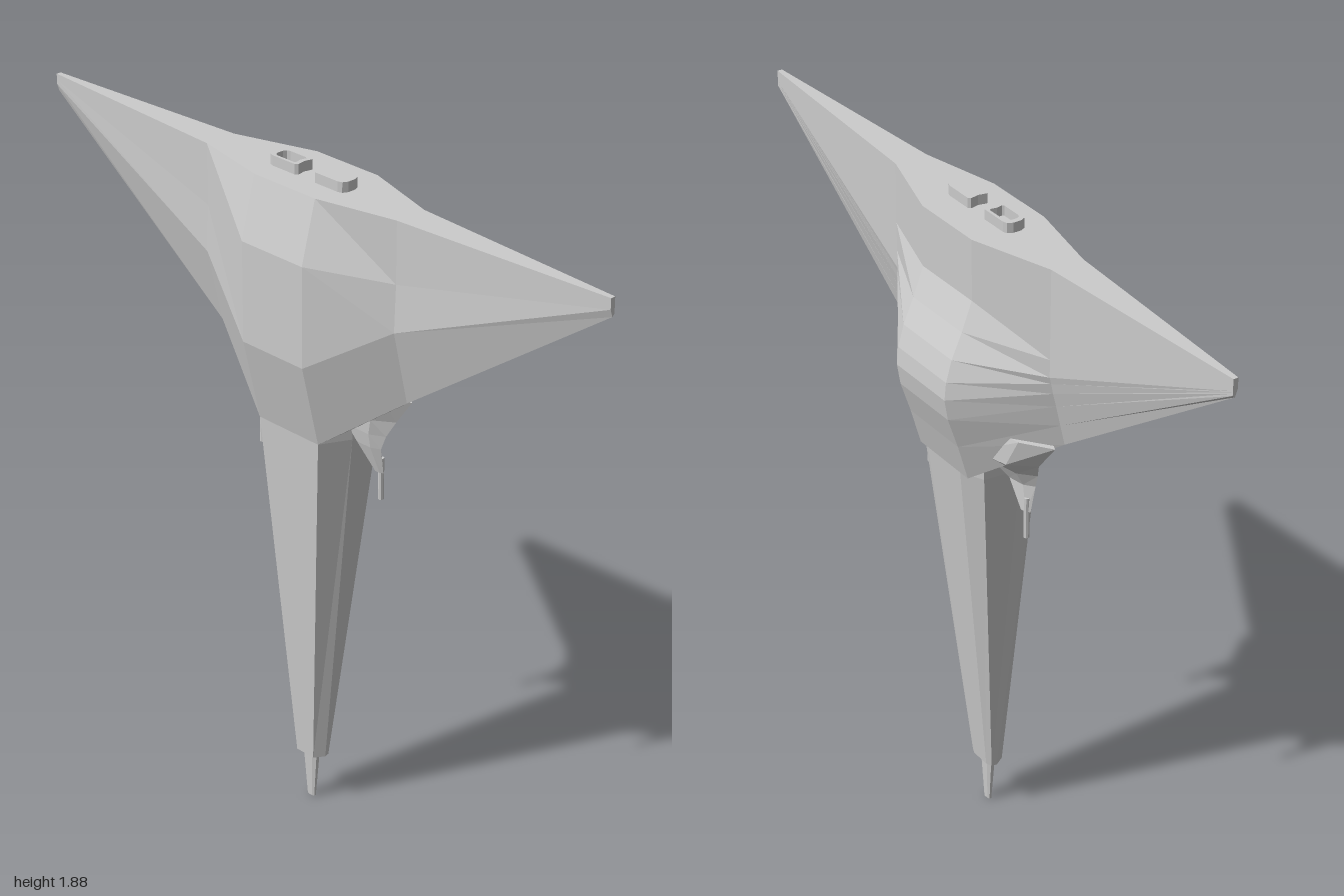
import * as THREE from 'three';

const grey = new THREE.MeshStandardMaterial({ color: 0xcccccc, flatShading: true });

// Skin a row of equal-length closed rings of [x, y, z] and cap both ends.
function loft(name, rings) {
  const tris = [];
  const n = rings[0].length;
  for (let i = 0; i + 1 < rings.length; i++) {
    for (let j = 0; j < n; j++) {
      const k = (j + 1) % n;
      const a = rings[i][j], b = rings[i][k], c = rings[i + 1][k], d = rings[i + 1][j];
      tris.push([a, b, c], [a, c, d]);
    }
  }
  const last = rings[rings.length - 1];
  for (let j = 1; j + 1 < n; j++) {
    tris.push([rings[0][0], rings[0][j + 1], rings[0][j]], [last[0], last[j], last[j + 1]]);
  }
  // Signed volume tells whether the faces point outwards.
  const v = (p) => new THREE.Vector3(...p);
  const volume = tris.reduce((s, [a, b, c]) => s + v(a).dot(v(b).cross(v(c))), 0);
  if (volume < 0) tris.forEach((t) => t.reverse());
  const geometry = new THREE.BufferGeometry();
  geometry.setAttribute('position', new THREE.Float32BufferAttribute(tris.flat(2), 3));
  geometry.computeVertexNormals();
  const mesh = new THREE.Mesh(geometry, grey);
  mesh.name = name;
  return mesh;
}

// Delta hull: [y, z] outlines at the spine, wing root and wing tip,
// four points down the front, then nine points up the back.
function createHull() {
  const spine = [
    [1.85, 0.13], [1.68, 0.175], [1.4, 0.175], [1.165, 0.12],
    [1.165, -0.1], [1.27, -0.13], [1.36, -0.16], [1.42, -0.17], [1.47, -0.165],
    [1.53, -0.148], [1.6, -0.117], [1.68, -0.087], [1.85, -0.087],
  ];
  const root = [
    [1.85, 0.08], [1.68, 0.08], [1.55, 0.085], [1.34, 0.036],
    [1.34, 0.034], [1.4, 0.02], [1.46, 0.006], [1.5, -0.004], [1.53, -0.01],
    [1.55, -0.015], [1.6, -0.015], [1.68, -0.015], [1.85, -0.015],
  ];
  const tip = root.map(([y, z], i) => [
    1.8 + 0.05 * (y - 1.34) / 0.51,
    i < 3 ? 0.04 : i < 5 ? 0.033 : 0.026,
  ]);
  const station = (x, outline) => outline.map(([y, z]) => [x, y, z]);
  return loft('deltaHull', [
    station(-1, tip), station(-0.345, root), station(-0.11, spine),
    station(0.11, spine), station(0.345, root), station(1, tip),
  ]);
}

// Long tapering neck with eight sides.
function createNeck() {
  const ring = (y, front, side, back, zf, zb) => {
    const half = [[front, zf], [side, 0.036], [side * 0.93, zb + (zf - zb) * 0.14], [back, zb]];
    return [
      ...half.map(([x, z]) => [x, y, z]),
      ...half.reverse().map(([x, z]) => [-x, y, z]),
    ];
  };
  return loft('neck', [
    ring(0.145, 0.032, 0.05, 0.03, 0.065, 0.014),
    ring(1.165, 0.11, 0.15, 0.075, 0.12, -0.1),
    ring(1.2, 0.11, 0.15, 0.075, 0.12, -0.1),
  ]);
}

// Small blunt probe at the end of the neck.
function createNose() {
  const ring = (y, w, d) => [[1, 0.5], [0.5, 1], [-0.5, 1], [-1, 0.5], [-1, -0.5], [-0.5, -1], [0.5, -1], [1, -0.5]]
    .map(([x, z]) => [x * w, y, 0.04 + z * d]);
  return loft('noseProbe', [ring(0, 0.013, 0.006), ring(0.15, 0.026, 0.012)]);
}

// Fairing under each wing root, narrowing down to a gun barrel.
function createGunPod(side) {
  const pod = new THREE.Group();
  pod.name = side > 0 ? 'leftGunPod' : 'rightGunPod';
  const ring = (y, xi, xo, zf, zb) => {
    const xm = xi + (xo - xi) * 0.65;
    const zo = Math.min(0.034, zf * 0.7 + zb * 0.3);
    return [[xo, zo], [xm, zf], [xi, zf], [xi, zb], [xm, zb * 0.8 + zf * 0.2]]
      .map(([x, z]) => [side * x, y, z]);
  };
  pod.add(loft('podFairing', [
    ring(1.09, 0.212, 0.237, 0.014, -0.004),
    ring(1.165, 0.165, 0.24, 0.034, -0.008),
    ring(1.205, 0.135, 0.254, 0.04, -0.035),
    ring(1.25, 0.12, 0.277, 0.043, -0.085),
    ring(1.33, 0.11, 0.338, 0.045, -0.07),
  ]));
  const barrel = new THREE.Mesh(new THREE.CylinderGeometry(0.008, 0.008, 0.12, 8), grey);
  barrel.name = 'gunBarrel';
  barrel.position.set(side * 0.225, 1.07, 0.005);
  pod.add(barrel);
  return pod;
}

// Raised hollow exhaust frame, curved on its outer end.
function createExhaust(side) {
  const outline = (PathType, k) => {
    const points = [[-0.053, 0.024], [-0.046, 0.03], [0.035, 0.03], [0.047, 0.026], [0.054, 0.012],
      [0.054, -0.012], [0.047, -0.026], [0.035, -0.03], [-0.046, -0.03], [-0.053, -0.024], [-0.048, 0]];
    return new PathType(points.map(([x, y]) => new THREE.Vector2(side * x * k, y * k)));
  };
  const shape = outline(THREE.Shape, 1);
  shape.holes.push(outline(THREE.Path, 0.72));
  const geometry = new THREE.ExtrudeGeometry(shape, { depth: 0.03, bevelEnabled: false });
  geometry.rotateX(-Math.PI / 2);
  const mesh = new THREE.Mesh(geometry, grey);
  mesh.name = side > 0 ? 'leftExhaust' : 'rightExhaust';
  mesh.position.set(side * 0.083, 1.848, 0.03);
  return mesh;
}

export function createModel() {
  const model = new THREE.Group();
  model.name = 'deltaSpacecraft';
  model.add(createHull(), createNeck(), createNose());
  for (const side of [1, -1]) model.add(createGunPod(side), createExhaust(side));
  return model;
}
